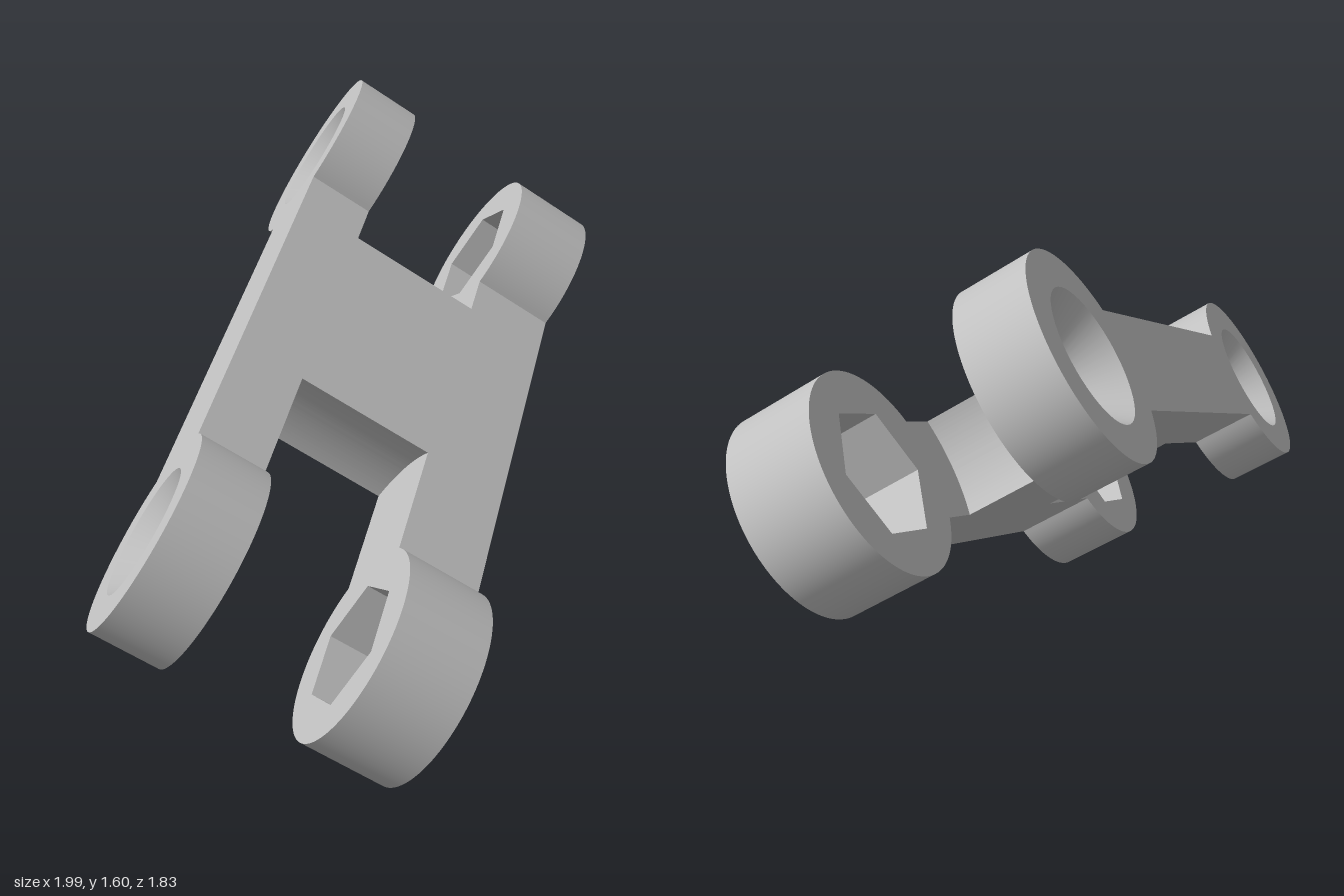
import * as THREE from 'three';
import { toCreasedNormals } from 'three/addons/utils/BufferGeometryUtils.js';

// Link dimensions: x along the link, y through its thickness, z along the pins
const PIN = 0.768, RING = 0.28, HALF = 0.14;
const BACK = -0.433, SLOT_BACK = -0.234, SLOT_FRONT = 0.179, FRONT = 0.433;
const SINK = 0.18, BOLT = 0.092, HEX = 0.185, CLEAR = 0.394;

const metal = new THREE.MeshStandardMaterial({ color: 0xc0c0c0 });
metal.name = 'grey metal';

function mesh(name, geometry) {
  const m = new THREE.Mesh(toCreasedNormals(geometry, Math.PI / 7), metal);
  m.name = name;
  return m;
}

function slab(name, shape, z0, z1) {
  const g = new THREE.ExtrudeGeometry(shape, { depth: z1 - z0, bevelEnabled: false, curveSegments: 48 });
  g.translate(0, 0, z0);
  return mesh(name, g);
}

// Bar with a round eye at each end, pierced by holes with the given sides
function eyeBar(radius, sides) {
  const s = new THREE.Shape();
  const a = Math.asin(HALF / RING);
  s.absarc(PIN, 0, RING, -Math.PI + a, Math.PI - a, false);
  s.absarc(-PIN, 0, RING, a, 2 * Math.PI - a, false);
  s.closePath();
  for (const x of [-PIN, PIN]) {
    const pts = [];
    for (let i = 0; i < sides; i++) {
      const t = -i / sides * 2 * Math.PI;
      pts.push(new THREE.Vector2(x + radius * Math.cos(t), radius * Math.sin(t)));
    }
    s.holes.push(new THREE.Path(pts));
  }
  return s;
}

// Centre web with hollow curved ends that clear the neighbouring links
function webShape(x0, x1) {
  const a = Math.asin(HALF / CLEAR), d = CLEAR * Math.cos(a);
  const s = new THREE.Shape();
  s.absarc(x1 + d, 0, CLEAR, Math.PI + a, Math.PI - a, true);
  s.absarc(x0 - d, 0, CLEAR, a, -a, true);
  s.closePath();
  return s;
}

export function createModel() {
  const model = new THREE.Group();
  model.name = 'chainLink';

  model.add(slab('countersunkArm', eyeBar(SINK, 48), BACK, SLOT_BACK));
  model.add(slab('web', webShape(-0.19, 0.4), SLOT_BACK, SLOT_FRONT));
  model.add(slab('hexArm', eyeBar(HEX, 6), SLOT_FRONT, FRONT));

  // Conical bolt seats in the countersunk arm
  const profile = [
    [SINK, SLOT_BACK], [BOLT, SLOT_BACK], [BOLT, BACK + 0.12], [SINK, BACK],
  ].map(([r, z]) => new THREE.Vector2(r, z));
  for (const x of [-PIN, PIN]) {
    const g = new THREE.LatheGeometry(profile, 48);
    g.rotateX(Math.PI / 2);
    g.translate(x, 0, 0);
    model.add(mesh('boltSeat', g));
  }

  // Tilt the link into its resting pose
  const along = new THREE.Vector3(0.635, 0.426, -0.645).normalize();
  const across = new THREE.Vector3(0.749, -0.547, 0.375);
  const up = new THREE.Vector3().crossVectors(across, along).normalize();
  across.crossVectors(along, up);
  model.quaternion.setFromRotationMatrix(new THREE.Matrix4().makeBasis(along, up, across));
  model.position.y = 0.803;
  return model;
}
